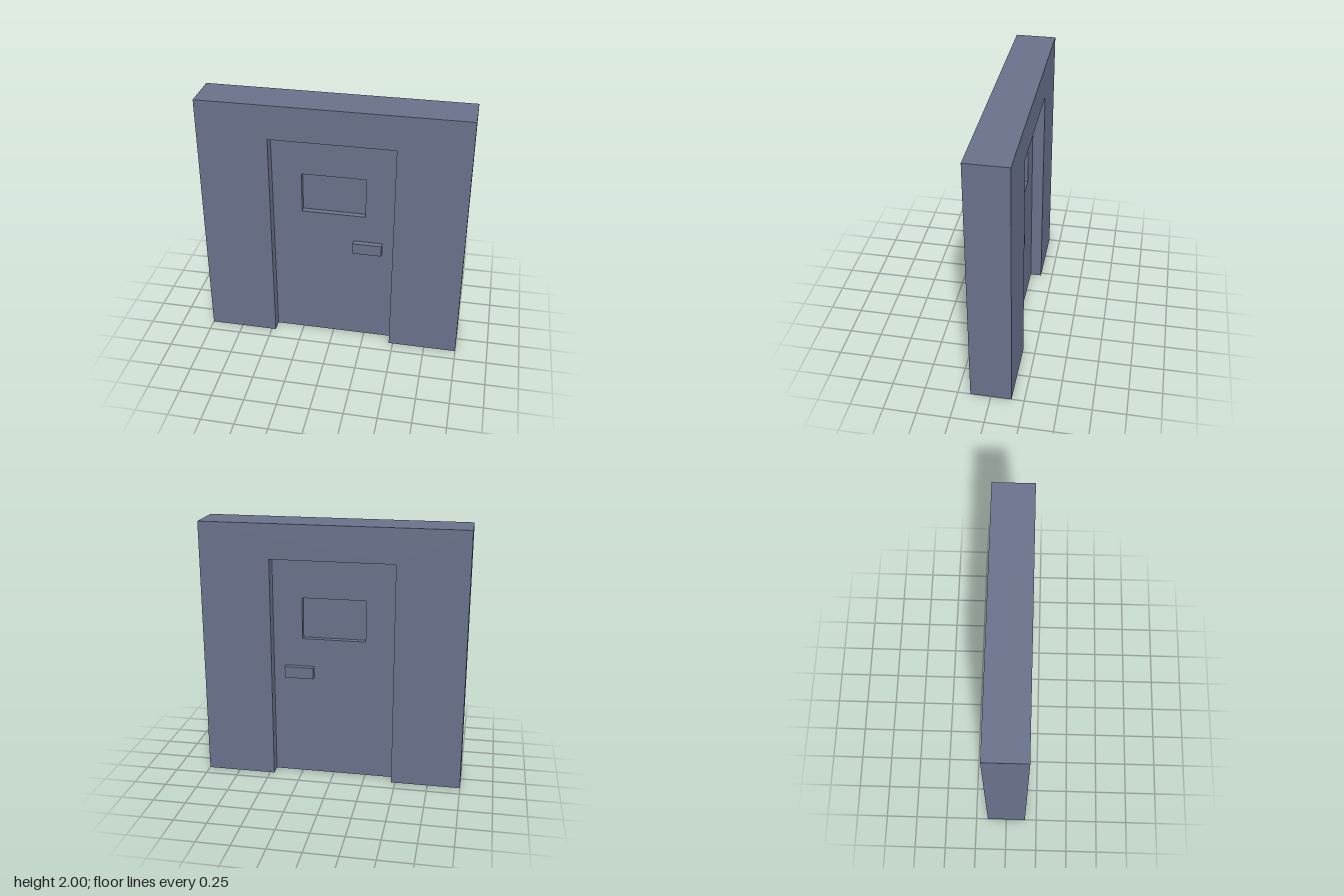
import * as THREE from 'three';

const WALL_DEPTH = 0.31, DOOR_DEPTH = 0.13, PANE_DEPTH = 0.04;
const DOOR_X = 0.468, DOOR_TOP = 1.735;
const WIN_X = 0.243, WIN_BOTTOM = 1.11, WIN_TOP = 1.43;

// Extrudes a flat outline, centred on z = 0
function slab(shape, depth) {
  const geometry = new THREE.ExtrudeGeometry(shape, { depth, bevelEnabled: false });
  return geometry.translate(0, 0, -depth / 2);
}

function outline(points) {
  return new THREE.Shape(points.map(([x, y]) => new THREE.Vector2(x, y)));
}

export function createModel() {
  const group = new THREE.Group();
  group.name = 'doorInWall';
  const slate = new THREE.MeshStandardMaterial({ name: 'slateBlue', color: 0x69718b });

  const add = (name, geometry, x = 0, y = 0, z = 0) => {
    const mesh = new THREE.Mesh(geometry, slate);
    mesh.name = name;
    mesh.position.set(x, y, z);
    group.add(mesh);
  };

  // Wall with a doorway open at the floor
  add('wall', slab(outline([
    [-1, 0], [-DOOR_X, 0], [-DOOR_X, DOOR_TOP], [DOOR_X, DOOR_TOP],
    [DOOR_X, 0], [1, 0], [1, 2], [-1, 2],
  ]), WALL_DEPTH));

  // Door leaf, recessed on both sides, with a window opening
  const leaf = outline([[-DOOR_X, 0], [DOOR_X, 0], [DOOR_X, DOOR_TOP], [-DOOR_X, DOOR_TOP]]);
  leaf.holes.push(outline([
    [-WIN_X, WIN_BOTTOM], [-WIN_X, WIN_TOP], [WIN_X, WIN_TOP], [WIN_X, WIN_BOTTOM],
  ]));
  add('doorLeaf', slab(leaf, DOOR_DEPTH));

  // Window pane, recessed within the leaf
  add('windowPane', new THREE.BoxGeometry(WIN_X * 2, WIN_TOP - WIN_BOTTOM, PANE_DEPTH),
    0, (WIN_TOP + WIN_BOTTOM) / 2, 0);

  // Block handles on both faces
  for (const side of [1, -1]) {
    add(side > 0 ? 'frontHandle' : 'backHandle', new THREE.BoxGeometry(0.222, 0.088, 0.045),
      0.265, 0.845, side * (DOOR_DEPTH / 2 + 0.0225));
  }

  return group;
}
